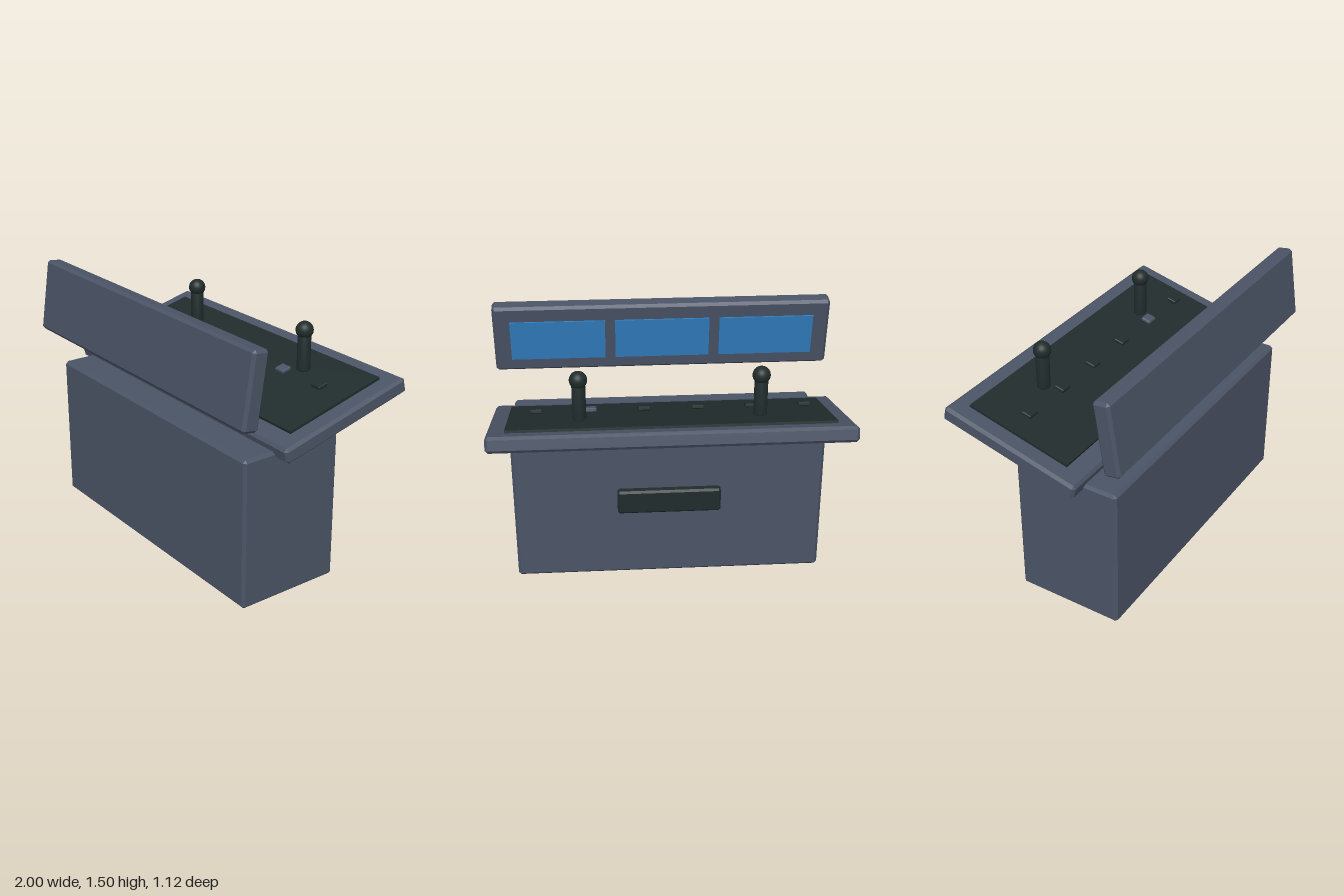
import * as THREE from 'three';
import { ConvexGeometry } from 'three/addons/geometries/ConvexGeometry.js';

// Box with every edge cut by a flat chamfer c
function chamferBox(w, h, d, c) {
  const points = [];
  for (const sx of [-1, 1]) for (const sy of [-1, 1]) for (const sz of [-1, 1]) {
    const [x, y, z] = [w / 2, h / 2, d / 2];
    points.push(
      new THREE.Vector3(sx * x, sy * (y - c), sz * (z - c)),
      new THREE.Vector3(sx * (x - c), sy * y, sz * (z - c)),
      new THREE.Vector3(sx * (x - c), sy * (y - c), sz * z));
  }
  return new ConvexGeometry(points);
}

export function createModel() {
  const body = new THREE.MeshStandardMaterial({ name: 'slateGrey', color: 0x4b5466 });
  const dark = new THREE.MeshStandardMaterial({ name: 'darkGreenGrey', color: 0x212c2c });
  const blue = new THREE.MeshStandardMaterial({ name: 'screenBlue', color: 0x307ec2 });

  const model = new THREE.Group();
  model.name = 'controlConsole';
  const add = (parent, name, geometry, material, x, y, z) => {
    const mesh = new THREE.Mesh(geometry, material);
    mesh.name = name;
    mesh.position.set(x, y, z);
    parent.add(mesh);
    return mesh;
  };

  // Pedestal and the dark plate on its back
  add(model, 'pedestal', chamferBox(1.8, 0.872, 0.632, 0.016), body, 0, 0.436, 0.156);
  add(model, 'backPlate', chamferBox(0.6, 0.146, 0.06, 0.012), dark, 0, 0.502, -0.176);

  // Sloping desk with its inset control panel
  const tilt = 0.244;
  const desk = new THREE.Group();
  desk.name = 'desk';
  desk.position.set(0, 0.977, -0.134);
  desk.rotation.x = tilt;
  add(desk, 'deskTop', chamferBox(2, 0.09, 0.853, 0.016), body, 0, 0, 0);
  add(desk, 'controlPanel', new THREE.BoxGeometry(1.8, 0.02, 0.64), dark, 0, 0.05, -0.013);
  model.add(desk);

  // Row of push buttons, one of them lighter
  for (let i = 0; i < 6; i++) {
    const button = add(model, 'button' + (i + 1), chamferBox(0.07, 0.022, 0.062, 0.005),
      i === 4 ? body : dark, -0.76 + i * 0.3, 1.089, -0.155);
    button.rotation.x = tilt;
  }

  // Two joysticks with ball grips
  for (const side of [-1, 1]) {
    const stick = new THREE.Group();
    stick.name = side < 0 ? 'rightJoystick' : 'leftJoystick';
    stick.position.set(side * 0.5, 0, -0.252);
    const profile = [[0, 1.078], [0.034, 1.078], [0.038, 1.083], [0.038, 1.3], [0, 1.3]];
    add(stick, 'shaft', new THREE.LatheGeometry(profile.map(p => new THREE.Vector2(...p)), 24), dark, 0, 0, 0);
    add(stick, 'ballGrip', new THREE.SphereGeometry(0.05, 24, 16), dark, 0, 1.312, 0);
    model.add(stick);
  }

  // Leaning monitor with three screens facing the operator
  const monitor = new THREE.Group();
  monitor.name = 'monitor';
  monitor.position.set(0, 1.282, 0.483);
  monitor.rotation.x = -0.15;
  add(monitor, 'monitorHousing', chamferBox(2, 0.425, 0.1, 0.016), body, 0, 0, 0);
  for (const i of [-1, 0, 1]) {
    add(monitor, 'screen' + (i + 2), new THREE.BoxGeometry(0.56, 0.25, 0.009), blue, i * 0.62, 0, -0.064);
  }
  model.add(monitor);

  return model;
}
